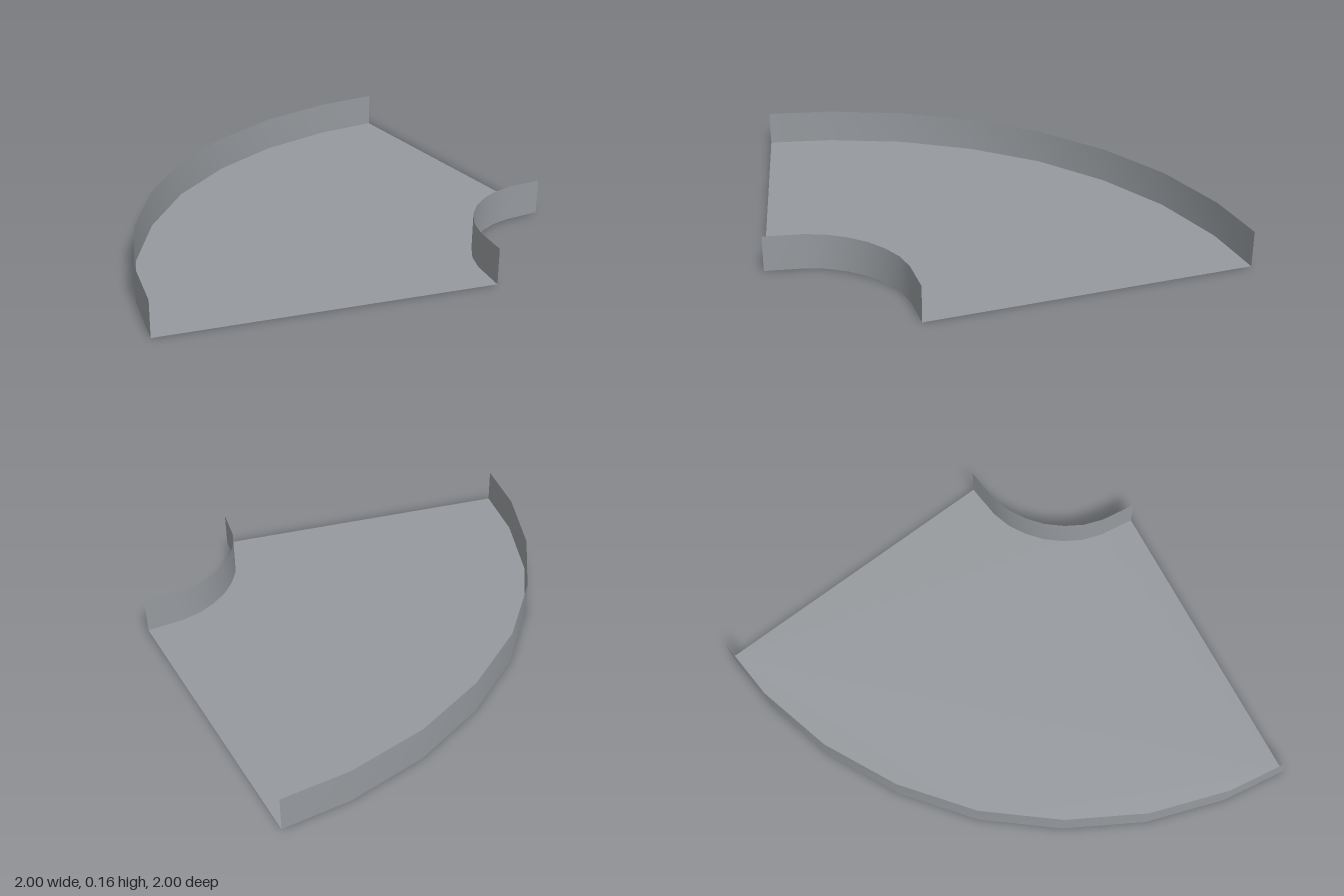
import * as THREE from 'three';

const HEIGHT = 0.16;

// Half of each curved edge as [x, z]; the rest mirrors across the x = z diagonal
const OUTER_HALF = [[0.855, -1], [0.55, -0.965], [0.19, -0.857], [-0.142, -0.68], [-0.44, -0.44]];
const INNER_HALF = [[1, 0.436], [0.83, 0.45], [0.737, 0.476], [0.655, 0.521], [0.581, 0.581]];

function mirrored(half) {
  return [...half, ...half.slice(0, -1).reverse().map(([x, z]) => [z, x])];
}

// Upright sheet following a path, smooth along its length
function wallGeometry(path) {
  const positions = [];
  const index = [];
  path.forEach(([x, z], i) => {
    positions.push(x, 0, z, x, HEIGHT, z);
    if (i > 0) {
      const a = 2 * (i - 1);
      index.push(a, a + 2, a + 1, a + 1, a + 2, a + 3);
    }
  });
  const geometry = new THREE.BufferGeometry();
  geometry.setAttribute('position', new THREE.Float32BufferAttribute(positions, 3));
  geometry.setIndex(index);
  geometry.computeVertexNormals();
  return geometry;
}

export function createModel() {
  const group = new THREE.Group();
  group.name = 'curvedTrayBend';

  const steel = new THREE.MeshStandardMaterial({ color: 0x969a9e, side: THREE.DoubleSide });
  steel.name = 'steelGrey';

  const outer = mirrored(OUTER_HALF);
  const inner = mirrored(INNER_HALF);

  const add = (name, geometry) => {
    const mesh = new THREE.Mesh(geometry, steel);
    mesh.name = name;
    group.add(mesh);
  };

  // Flat floor between the two curves
  const outline = [...outer, ...[...inner].reverse()].map(([x, z]) => new THREE.Vector2(x, -z));
  add('floor', new THREE.ShapeGeometry(new THREE.Shape(outline)).rotateX(-Math.PI / 2));

  // Side walls; the reversed path makes the outer wall face outward
  add('outerWall', wallGeometry([...outer].reverse()));
  add('innerWall', wallGeometry(inner));

  return group;
}
